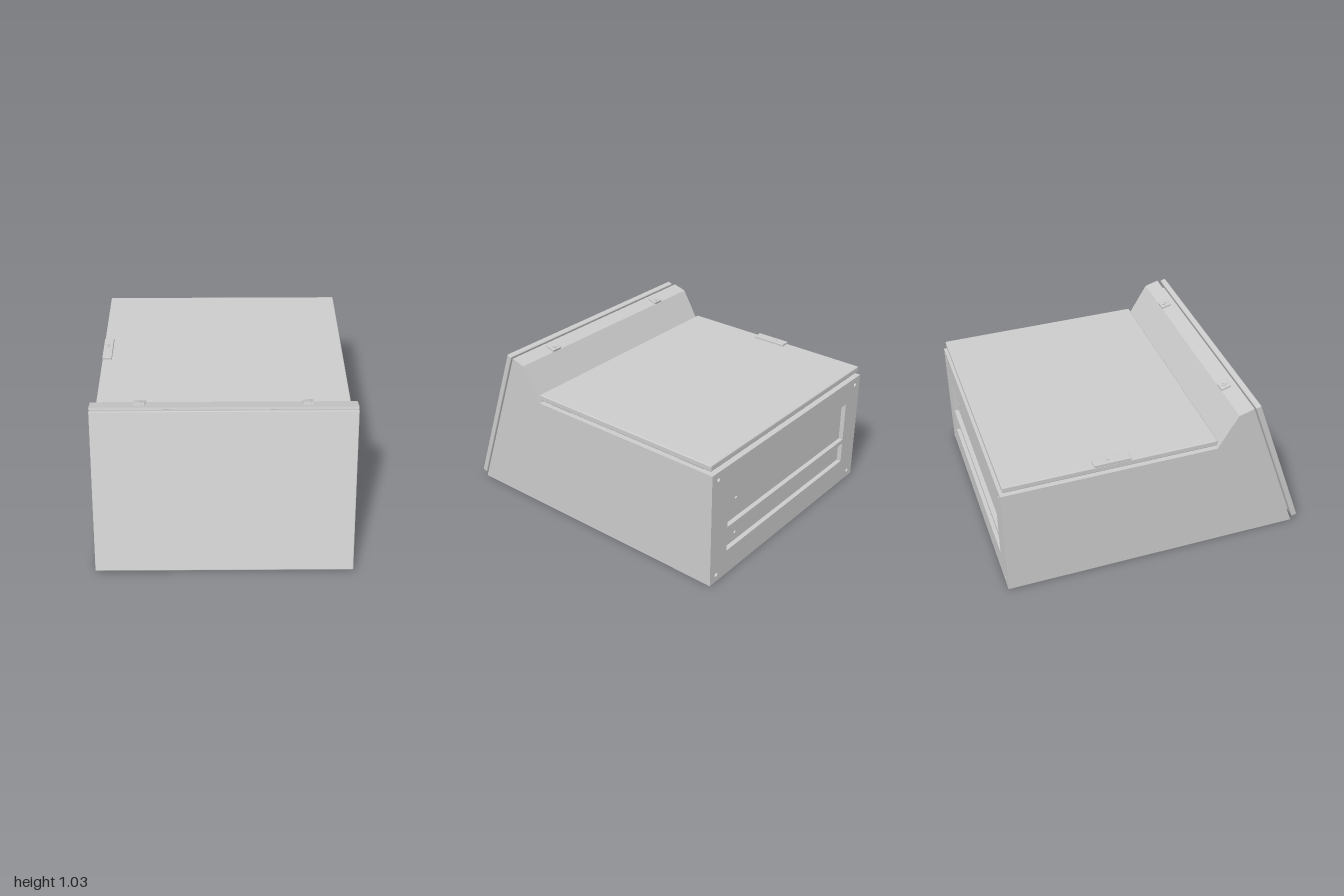
import * as THREE from 'three';
import { RoundedBoxGeometry } from 'three/addons/geometries/RoundedBoxGeometry.js';

const material = new THREE.MeshStandardMaterial({ color: 0xcccccc });

function add(parent, name, geometry, x = 0, y = 0, z = 0) {
  const mesh = new THREE.Mesh(geometry, material);
  mesh.name = name;
  mesh.position.set(x, y, z);
  parent.add(mesh);
  return mesh;
}

const box = (w, h, d) => new THREE.BoxGeometry(w, h, d);
const rounded = (w, h, d, r) => new RoundedBoxGeometry(w, h, d, 2, r);

function rectangle(Type, x0, x1, y0, y1) {
  return new Type([[x0, y0], [x1, y0], [x1, y1], [x0, y1]].map(([x, y]) => new THREE.Vector2(x, y)));
}

// Small lock: round collar with a slotted core, axis along y
function addLock(parent, x, y, z, r) {
  add(parent, 'lockCollar', new THREE.CylinderGeometry(r, r, 0.006, 20), x, y + 0.003, z);
  add(parent, 'lockCore', box(r * 1.2, 0.004, r * 0.35), x, y + 0.008, z).rotation.y = 0.6;
}

export function createModel() {
  const model = new THREE.Group();
  model.name = 'consoleCabinet';
  const halfWidth = 0.82;
  const backDepth = 0.03;

  // Cabinet body: side profile (z, y) extruded across the width
  const profile = [[-1 + backDepth, 0], [0.953, 0], [0.59, 1.017], [0.5, 0.99], [0.37, 0.77], [-1 + backDepth, 0.77]];
  const side = new THREE.Shape(profile.map(([z, y]) => new THREE.Vector2(-z, y)));
  const bodyGeometry = new THREE.ExtrudeGeometry(side, { depth: halfWidth * 2, bevelEnabled: false });
  bodyGeometry.translate(0, 0, -halfWidth).rotateY(Math.PI / 2);
  add(model, 'body', bodyGeometry);

  // Back frame with two recessed windows and four mounting holes
  const back = rectangle(THREE.Shape, -halfWidth, halfWidth, 0, 0.77);
  back.holes.push(rectangle(THREE.Path, -0.66, 0.66, 0.17, 0.31));
  back.holes.push(rectangle(THREE.Path, -0.66, 0.66, 0.34, 0.61));
  for (const x of [-0.76, 0.76]) {
    for (const y of [0.05, 0.72]) {
      back.holes.push(new THREE.Path().absarc(x, y, 0.014, 0, Math.PI * 2));
    }
  }
  add(model, 'backFrame', new THREE.ExtrudeGeometry(back, { depth: backDepth, bevelEnabled: false, curveSegments: 10 }), 0, 0, -1);

  // Screws on the recessed plates
  for (const y of [0.225, 0.475]) {
    const screw = add(model, 'plateScrew', new THREE.CylinderGeometry(0.011, 0.011, 0.01, 12), 0.54, y, -0.974);
    screw.rotation.x = Math.PI / 2;
  }

  // Top lid on its seal and hinges
  add(model, 'lidSeal', box(1.48, 0.03, 1.19), 0, 0.78, -0.305);
  add(model, 'lid', rounded(1.63, 0.04, 1.355, 0.008), 0, 0.81, -0.3075);
  for (const z of [0.215, -0.825]) {
    add(model, 'lidHinge', box(0.04, 0.022, 0.17), 0.77, 0.78, z);
  }

  // Lid latch
  add(model, 'lidLatch', rounded(0.064, 0.022, 0.235, 0.005), -0.783, 0.835, -0.305);
  addLock(model, -0.783, 0.843, -0.335, 0.016);

  // Sloping front door on its seal and hinges
  const door = new THREE.Group();
  door.name = 'frontDoor';
  door.position.set(0, 0.524, 0.805);
  door.rotation.x = -Math.atan(0.355);
  model.add(door);
  add(door, 'doorPanel', rounded(1.63, 1.06, 0.037, 0.007));
  add(door, 'doorSeal', box(1.54, 0.98, 0.025), 0, 0, -0.028);
  for (const x of [-0.6, 0.6]) {
    add(door, 'doorHinge', box(0.12, 0.03, 0.022), x, -0.485, -0.026);
  }

  // Door latches on the sloping top edge
  for (const x of [-0.515, 0.515]) {
    const latch = new THREE.Group();
    latch.name = 'doorLatch';
    latch.position.set(x, 1.004, 0.53);
    latch.rotation.x = -Math.atan2(0.027, 0.09);
    model.add(latch);
    add(latch, 'latchPlate', rounded(0.07, 0.02, 0.065, 0.004));
    addLock(latch, 0, 0.009, 0, 0.018);
  }

  return model;
}
